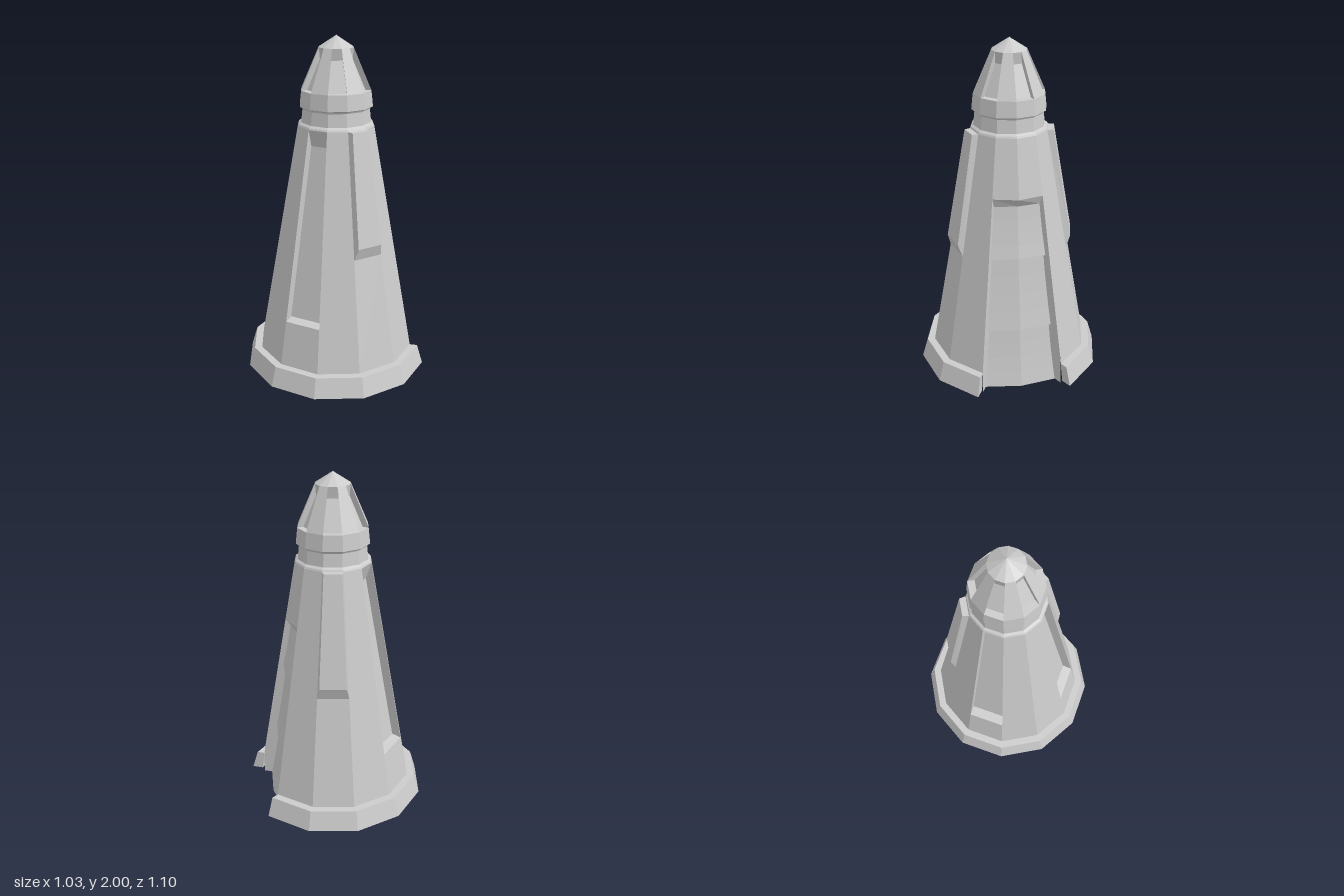
import * as THREE from 'three';

const SIDES = 12, STEP = Math.PI * 2 / SIDES;
const material = new THREE.MeshStandardMaterial({ color: 0xcccccc, flatShading: true, side: THREE.DoubleSide });

// point on a corner line of the twelve-sided tower (corner 0 points to +x)
const at = (r, corner, y) => new THREE.Vector3(r * Math.cos(corner * STEP), y, r * Math.sin(corner * STEP));

// collects flat quads into one mesh
function quadMesh(name, build) {
  const p = [];
  build((a, b, c, d) => [a, b, c, a, c, d].forEach(v => p.push(v.x, v.y, v.z)));
  const g = new THREE.BufferGeometry();
  g.setAttribute('position', new THREE.Float32BufferAttribute(p, 3));
  g.computeVertexNormals();
  const m = new THREE.Mesh(g, material);
  m.name = name;
  return m;
}

// corners of one facet of a cone: lower left, lower right, upper right, upper left
const facet = (rad, k, y0, y1) =>
  [at(rad(y0), k + 1, y0), at(rad(y0), k, y0), at(rad(y1), k, y1), at(rad(y1), k + 1, y1)];

// panel pushed along the facet normal, joined to the facet outline by four sides
function panel(name, rad, k, [y0, y1], [in0, in1], depth, inset = 0) {
  return quadMesh(name, quad => {
    const outer = facet(rad, k, y0, y1);
    const shift = at(depth, k + 0.5, 0);
    const base = facet(rad, k, in0, in1);
    const pair = [1, 0, 3, 2];
    const inner = base.map((v, i) => v.clone().lerp(base[pair[i]], inset).add(shift));
    quad(...inner);
    for (let i = 0; i < 4; i++) {
      const j = (i + 1) % 4;
      quad(outer[i], outer[j], inner[j], inner[i]);
    }
  });
}

function lathe(name, profile) {
  const pts = profile.map(([r, y]) => new THREE.Vector2(r, y));
  const m = new THREE.Mesh(new THREE.LatheGeometry(pts, SIDES), material);
  m.name = name;
  return m;
}

const wallR = y => 0.47 - 0.247 * (y - 0.135) / 1.365;
const capR = y => 0.203 - 0.103 * (y - 1.7) / 0.235;
const FOOT = 0.135, SHELF = 1.5, DOOR_TOP = 1.165;

export function createModel() {
  const model = new THREE.Group();
  const tower = new THREE.Group();
  tower.name = 'tower';
  tower.position.x = 0.035;
  model.add(tower);

  // tapering wall, left open at the panels and the doorway
  const gaps = { 0: [FOOT, DOOR_TOP], 11: [FOOT, DOOR_TOP], 4: [0.395, SHELF], 7: [0.395, SHELF], 2: [0.79, SHELF], 9: [0.79, SHELF] };
  tower.add(quadMesh('wall', quad => {
    for (let k = 0; k < SIDES; k++) {
      const [g0, g1] = gaps[k] || [SHELF, SHELF];
      if (g0 > FOOT) quad(...facet(wallR, k, FOOT, g0));
      if (g1 < SHELF) quad(...facet(wallR, k, g1, SHELF));
    }
  }));

  // sunken and raised wall panels, mirrored front and back
  for (const k of [4, 7]) tower.add(panel('sunkenPanel', wallR, k, [0.395, SHELF], [0.405, 1.4], -0.055));
  for (const k of [2, 9]) tower.add(panel('raisedPanel', wallR, k, [0.79, SHELF], [0.86, SHELF], 0.035, 0.06));

  // flared foot rim, broken at the doorway
  const rim = [[0.55, 0.02], [0.515, FOOT], [0.468, FOOT], [0.485, 0.02]];
  tower.add(quadMesh('footRim', quad => {
    for (let k = 1; k <= 10; k++) {
      rim.forEach(([r, y], i) => {
        const [r2, y2] = rim[(i + 1) % rim.length];
        quad(at(r, k + 1, y), at(r, k, y), at(r2, k, y2), at(r2, k + 1, y2));
      });
    }
    const ends = c => rim.map(([r, y]) => at(r, c, y));
    quad(...ends(1).reverse());
    quad(...ends(11));
  }));

  // doorway: three overlapping flared tiers, side walls and a sloping head
  const rows = [];
  const tiers = [0, 0.365, 0.805, 1.11];
  const line = y => 0.385 - 0.122 * y;
  for (let t = 0; t < 3; t++) {
    for (let i = 0; i <= 4; i++) {
      const f = i / 4, y = tiers[t] + (tiers[t + 1] - tiers[t]) * f;
      rows.push([y, line(y) + 0.016 * (1 - f) ** 2 - 0.006]);
    }
  }
  const edge = r => r * 1.065;
  const jambR = y => wallR(Math.max(y, FOOT));
  tower.add(quadMesh('doorway', quad => {
    for (let i = 0; i + 1 < rows.length; i++) {
      const [y0, r0] = rows[i], [y1, r1] = rows[i + 1];
      const mid0 = at(r0, 0, y0), mid1 = at(r1, 0, y1);
      quad(at(edge(r0), 1, y0), mid0, mid1, at(edge(r1), 1, y1));
      quad(mid0, at(edge(r0), -1, y0), at(edge(r1), -1, y1), mid1);
      quad(at(jambR(y0), 1, y0), at(edge(r0), 1, y0), at(edge(r1), 1, y1), at(jambR(y1), 1, y1));
      quad(at(edge(r0), -1, y0), at(jambR(y0), -1, y0), at(jambR(y1), -1, y1), at(edge(r1), -1, y1));
    }
    const [y, r] = rows[rows.length - 1];
    for (const s of [1, -1]) {
      const head = [at(edge(r), s, y), at(r, 0, y), at(wallR(DOOR_TOP), 0, DOOR_TOP), at(wallR(DOOR_TOP), s, DOOR_TOP)];
      quad(...(s > 0 ? head.reverse() : head));
      // small corner closing the jamb under the head
      const a = at(edge(r), s, y), b = at(wallR(y), s, y), c = at(wallR(DOOR_TOP), s, DOOR_TOP);
      if (s > 0) quad(b, a, c, c); else quad(a, b, c, c);
    }
  }));

  // shelf, neck and the lower band of the cap
  tower.add(lathe('neck', [[0.223, SHELF], [0.218, 1.51], [0.204, 1.52], [0.196, 1.595], [0.2, 1.603], [0.213, 1.61], [0.203, 1.7]]));

  // cap: plain facets alternating with window niches
  tower.add(quadMesh('capRibs', quad => {
    for (let k = 0; k < SIDES; k += 2) quad(...facet(capR, k, 1.7, 1.935));
  }));
  for (let k = 1; k < SIDES; k += 2) tower.add(panel('windowNiche', capR, k, [1.7, 1.935], [1.7, 1.87], -0.038));
  tower.add(lathe('capTip', [[0.1, 1.935], [0, 2]]));

  return model;
}
